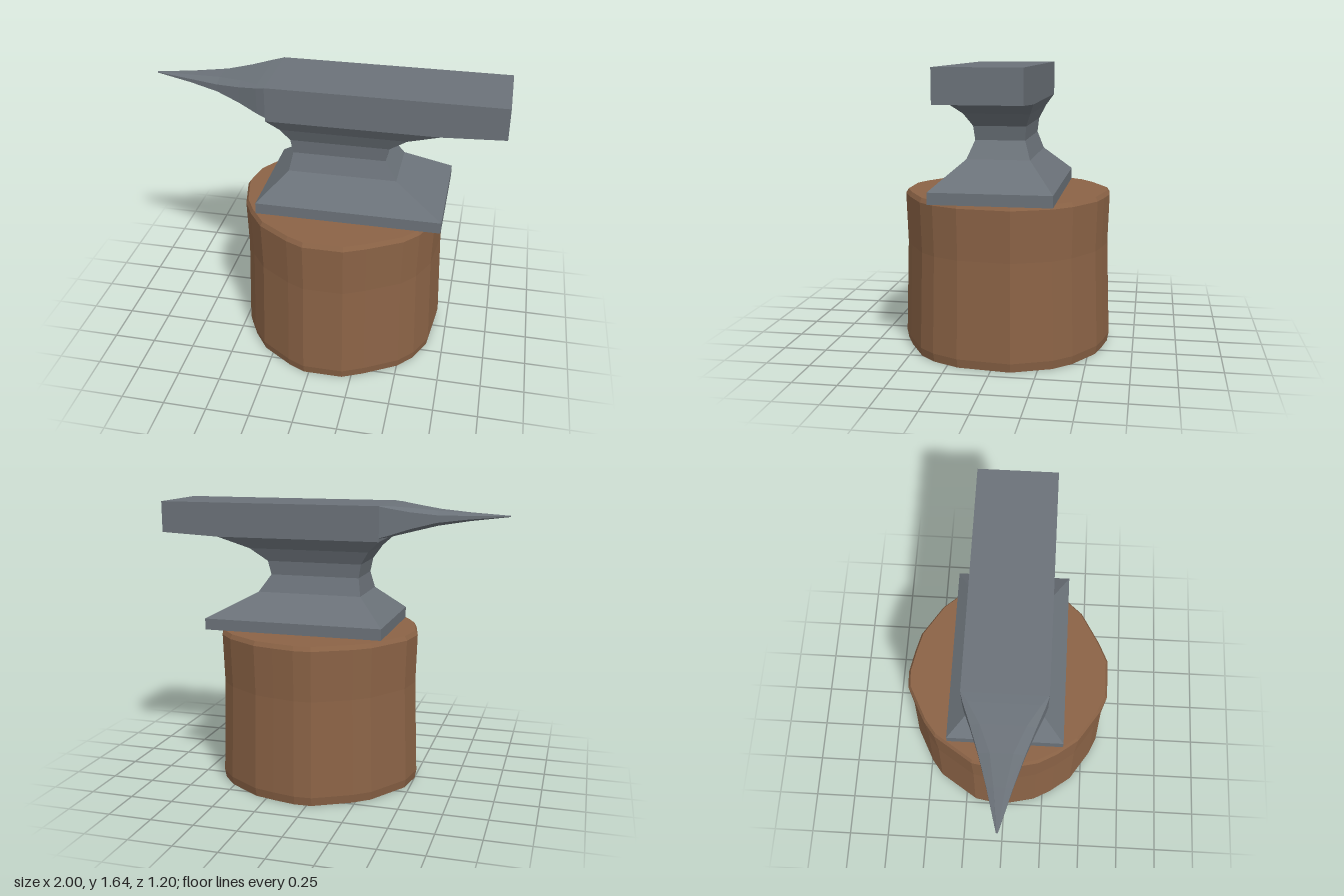
import * as THREE from 'three';

// Skin a series of matching rings with flat facets and close both ends.
// Rings run anticlockwise as seen from the end of the loft.
function loft(rings) {
  const pos = [];
  const tri = (a, b, c) => pos.push(...a, ...b, ...c);
  const n = rings[0].length;
  for (let i = 0; i < rings.length - 1; i++) {
    for (let j = 0; j < n; j++) {
      const k = (j + 1) % n;
      const [a, b, c, d] = [rings[i][j], rings[i][k], rings[i + 1][k], rings[i + 1][j]];
      tri(a, b, c);
      tri(a, c, d);
    }
  }
  const first = rings[0], last = rings[rings.length - 1];
  for (let j = 1; j < n - 1; j++) {
    tri(first[0], first[j + 1], first[j]);
    tri(last[0], last[j], last[j + 1]);
  }
  const geo = new THREE.BufferGeometry();
  geo.setAttribute('position', new THREE.Float32BufferAttribute(pos, 3));
  geo.computeVertexNormals();
  return geo;
}

export function createModel() {
  const group = new THREE.Group();
  const steel = new THREE.MeshStandardMaterial({ color: 0x6b7279 });
  steel.name = 'steel';
  const wood = new THREE.MeshStandardMaterial({ color: 0x8b6346 });
  wood.name = 'wood';
  const add = (name, geo, mat) => {
    const mesh = new THREE.Mesh(geo, mat);
    mesh.name = name;
    group.add(mesh);
  };

  // Log stump: an uneven outline (x, z) scaled at each height
  const outline = [
    [0.69, -0.11], [0.60, -0.33], [0.51, -0.43], [0.32, -0.55], [0.20, -0.58], [0.07, -0.605],
    [-0.03, -0.60], [-0.24, -0.49], [-0.33, -0.42], [-0.48, -0.19], [-0.51, -0.02], [-0.46, 0.20],
    [-0.40, 0.31], [-0.31, 0.43], [-0.13, 0.55], [-0.03, 0.595], [0.20, 0.595], [0.32, 0.54],
    [0.51, 0.43], [0.59, 0.34], [0.66, 0.19],
  ];
  const cx = 0.09;
  const levels = [[0, 0.985], [0.05, 1], [0.6, 0.97], [0.885, 0.985], [0.91, 0.962]];
  add('stump', loft(levels.map(([y, s]) =>
    outline.map(([x, z]) => [cx + (x - cx) * s, y, z * s]))), wood);

  // Foot and waist: rectangles given as height, left x, right x, half depth
  const waist = [
    [0.91, -0.355, 0.695, 0.335], [0.975, -0.355, 0.695, 0.335], [1.12, -0.195, 0.42, 0.177],
    [1.22, -0.175, 0.352, 0.14], [1.30, -0.19, 0.37, 0.148], [1.375, -0.24, 0.47, 0.183],
    [1.44, -0.31, 0.65, 0.225],
  ];
  add('footAndWaist', loft(waist.map(([y, l, r, d]) =>
    [[r, y, d], [r, y, -d], [l, y, -d], [l, y, d]])), steel);

  // Face block, with the underside of the heel rising slightly
  const side = new THREE.Shape([
    [-0.31, 1.44], [0.65, 1.44], [1, 1.457], [1, 1.637], [-0.31, 1.637],
  ].map(([x, y]) => new THREE.Vector2(x, y)));
  const block = new THREE.ExtrudeGeometry(side, { depth: 0.45, bevelEnabled: false });
  block.translate(0, 0, -0.225);
  add('faceBlock', block, steel);

  // Horn: chamfered sections given as x, bottom, top, half depth, chamfer
  const horn = [
    [-0.31, 1.46, 1.637, 0.225, 0.02], [-0.36, 1.465, 1.635, 0.21, 0.12],
    [-0.47, 1.49, 1.623, 0.167, 0.3], [-0.61, 1.523, 1.607, 0.117, 0.5],
    [-0.78, 1.55, 1.594, 0.065, 0.55], [-1, 1.576, 1.583, 0.005, 0.58],
  ];
  add('horn', loft(horn.map(([x, lo, hi, d, c]) => {
    const my = (lo + hi) / 2, h = (hi - lo) / 2, k = 1 - c;
    return [[1, -k], [1, k], [k, 1], [-k, 1], [-1, k], [-1, -k], [-k, -1], [k, -1]]
      .map(([z, y]) => [x, my + y * h, z * d]);
  })), steel);

  return group;
}
